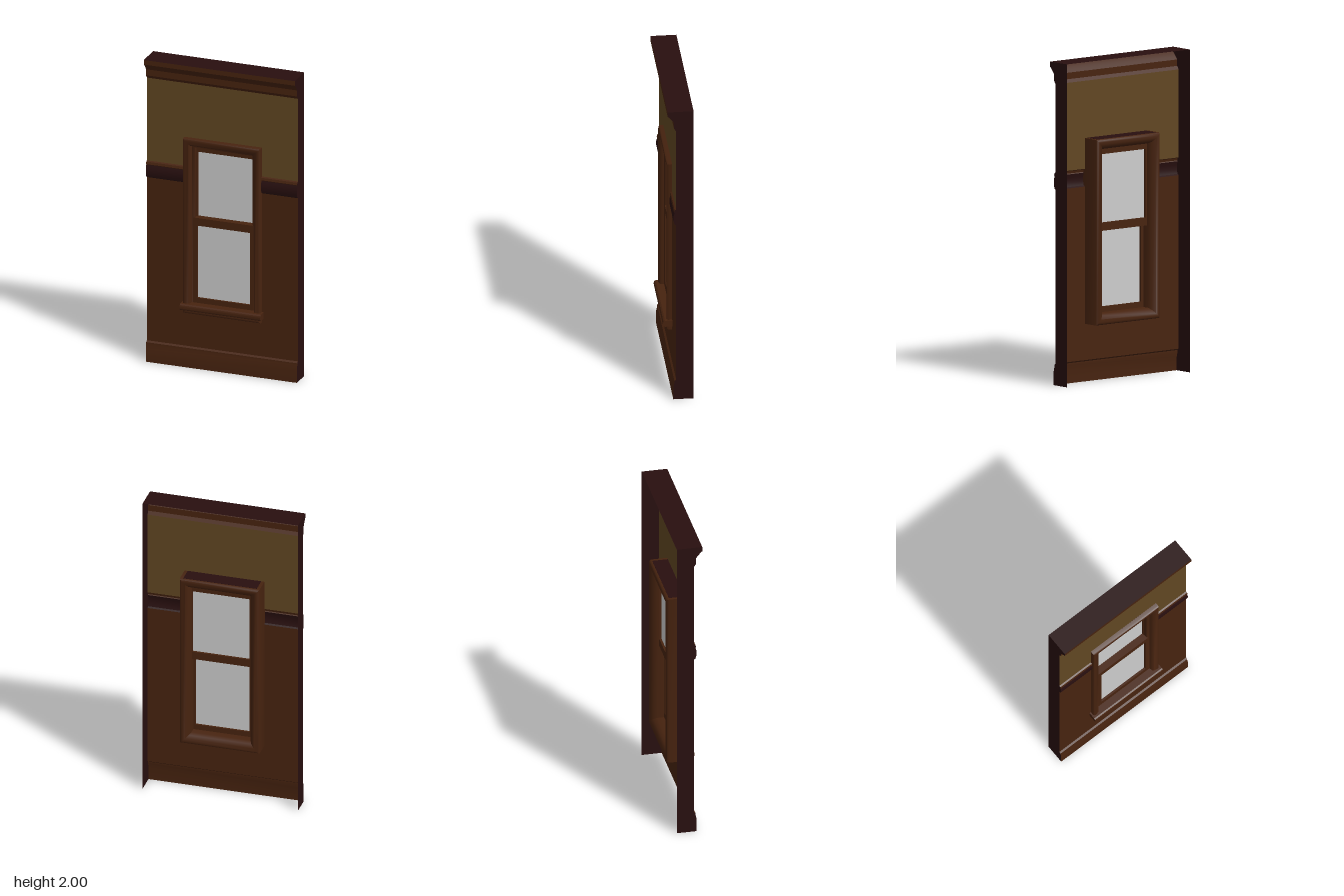
import * as THREE from 'three';
import { toCreasedNormals } from 'three/addons/utils/BufferGeometryUtils.js';

const W = 0.496;        // half width of the wall
const FRONT = 0.03;     // z of the plain wall surface
const BACK = -0.077;    // z of the open back edge
const WIN = { x0: -0.25, x1: 0.26, y0: 0.36, y1: 1.51 };

function material(name, color) {
  const m = new THREE.MeshStandardMaterial({ color, side: THREE.DoubleSide });
  m.name = name;
  return m;
}

// Quads between neighbouring cross-section rows of [x, y, z] points
function loft(rows, crease = 0.5) {
  const pos = [];
  for (let i = 0; i < rows.length - 1; i++) {
    for (let j = 0; j < rows[i].length - 1; j++) {
      const a = rows[i][j], b = rows[i + 1][j], c = rows[i + 1][j + 1], d = rows[i][j + 1];
      pos.push(...a, ...b, ...c, ...a, ...c, ...d);
    }
  }
  const g = new THREE.BufferGeometry();
  g.setAttribute('position', new THREE.Float32BufferAttribute(pos, 3));
  g.computeVertexNormals();
  return toCreasedNormals(g, crease);
}

// Horizontal moulding: profile of [z, y] stretched from x0 to x1
function moulding(profile, x0, x1) {
  return loft([x0, x1].map(x => profile.map(([z, y]) => [x, y, z])));
}

// Mitred rectangular frame: closed profile of [inset, z]
function frame(r, profile) {
  const rows = [...profile, profile[0]].map(([d, z]) => {
    const l = r.x0 + d, rt = r.x1 - d, b = r.y0 + d, t = r.y1 - d;
    return [[l, b, z], [rt, b, z], [rt, t, z], [l, t, z], [l, b, z]];
  });
  return loft(rows, 0.9);
}

export function createModel() {
  const root = new THREE.Group();
  root.name = 'wallWithWindow';
  const wood = material('brownWood', 0x47230f);
  const dark = material('darkWood', 0x280f0f);
  const paper = material('tanWall', 0x614622);
  const glass = material('paleGlass', 0xcccccc);

  const add = (name, geo, mat) => {
    const m = new THREE.Mesh(geo, mat);
    m.name = name;
    root.add(m);
    return m;
  };
  const box = (name, mat, x0, x1, y0, y1, z0, z1) => {
    const m = add(name, new THREE.BoxGeometry(x1 - x0, y1 - y0, z1 - z0), mat);
    m.position.set((x0 + x1) / 2, (y0 + y1) / 2, (z0 + z1) / 2);
  };
  const panel = (name, mat, x0, x1, y0, y1) =>
    add(name, moulding([[FRONT, y0], [FRONT, y1]], x0, x1), mat);

  // Cross-sections of the mouldings, from the floor up
  const base = [[0.048, 0], [0.048, 0.085], [0.041, 0.115], [0.041, 0.126], [FRONT, 0.135]];
  const railDark = [[FRONT, 1.21], [0.04, 1.217], [0.047, 1.24], [0.047, 1.27], [0.04, 1.295]];
  const railTop = [[0.04, 1.295], [0.044, 1.3], [0.04, 1.315], [FRONT, 1.32]];
  const cornice = [[FRONT, 1.865], [0.044, 1.885], [0.044, 1.925], [0.055, 1.94],
    [0.07, 1.958], [0.083, 1.97], [0.083, 2]];

  add('baseboard', moulding(base, -W, W), wood);
  add('cornice', moulding(cornice, -W, W), wood);

  // Wall around the window opening
  const hx0 = WIN.x0 + 0.02, hx1 = WIN.x1 - 0.02, hy0 = WIN.y0 + 0.02, hy1 = WIN.y1 - 0.02;
  panel('wainscotBelowWindow', wood, hx0, hx1, 0.135, hy0);
  panel('upperWallAboveWindow', paper, hx0, hx1, hy1, 1.865);
  for (const [side, x0, x1] of [['right', -W, hx0], ['left', hx1, W]]) {
    panel(side + 'Wainscot', wood, x0, x1, 0.135, 1.21);
    panel(side + 'UpperWall', paper, x0, x1, 1.32, 1.865);
    add(side + 'ChairRail', moulding(railDark, x0, x1), dark);
    add(side + 'ChairRailCap', moulding(railTop, x0, x1), wood);
  }

  // Dark end caps follow the mouldings; the back stays open
  const outline = [[BACK, 0], ...base, ...railDark, ...railTop, ...cornice, [BACK, 2]];
  const capShape = new THREE.Shape(outline.map(([z, y]) => new THREE.Vector2(-z, y)));
  for (const [side, s] of [['right', -1], ['left', 1]]) {
    const cap = add(side + 'EndCap', new THREE.ShapeGeometry(capShape), dark);
    cap.rotation.y = Math.PI / 2;
    cap.position.x = s * W;
  }
  add('topCap', moulding([[BACK, 2], [0.083, 2]], -W, W), dark);

  // Window casing running through the wall
  add('windowCasing', frame(WIN, [
    [0, -0.072], [0.006, -0.083], [0.018, -0.088], [0.035, -0.084], [0.055, -0.068],
    [0.066, -0.045], [0.066, 0.022], [0.05, 0.03], [0.046, 0.05], [0.036, 0.058],
    [0.015, 0.063], [0.004, 0.06], [0, 0.052],
  ]), wood);
  box('casingTopReveal', dark, WIN.x0 + 0.02, WIN.x1 - 0.02, WIN.y1 - 0.004, WIN.y1 + 0.001, -0.068, FRONT);
  box('casingBottomReveal', dark, WIN.x0 + 0.02, WIN.x1 - 0.02, WIN.y0 - 0.001, WIN.y0 + 0.004, -0.068, FRONT);

  // Sashes: the lower one stands in front of the upper one
  const sash = (name, y0, y1, g, zBack, zFront) => {
    const r = { x0: -0.2, x1: 0.215, y0, y1 };
    const zMid = (zBack + zFront) / 2;
    const shape = new THREE.Shape();
    shape.moveTo(r.x0, y0).lineTo(r.x1, y0).lineTo(r.x1, y1).lineTo(r.x0, y1).closePath();
    const hole = new THREE.Path();
    hole.moveTo(g[0], g[2]).lineTo(g[0], g[3]).lineTo(g[1], g[3]).lineTo(g[1], g[2]).closePath();
    shape.holes.push(hole);
    const geo = new THREE.ExtrudeGeometry(shape, { depth: zFront - zBack, bevelEnabled: false });
    add(name + 'Sash', geo, wood).position.z = zBack;
    box(name + 'Glass', glass, g[0], g[1], g[2], g[3], zMid - 0.002, zMid + 0.002);
  };
  sash('upper', 0.935, 1.46, [-0.175, 0.19, 0.985, 1.41], -0.035, -0.003);
  sash('lower', 0.41, 0.985, [-0.165, 0.18, 0.46, 0.935], -0.003, 0.027);

  // Rounded sill
  const sill = [[FRONT, 0.385], [0.075, 0.385], [0.084, 0.39], [0.088, 0.4], [0.088, 0.41],
    [0.084, 0.42], [0.075, 0.426], [FRONT, 0.428]];
  add('sill', moulding(sill, -0.26, 0.27), wood);
  const endShape = new THREE.Shape(sill.map(([z, y]) => new THREE.Vector2(-z, y)));
  for (const x of [-0.26, 0.27]) {
    const end = add('sillEnd', new THREE.ShapeGeometry(endShape), wood);
    end.rotation.y = Math.PI / 2;
    end.position.x = x;
  }
  return root;
}
